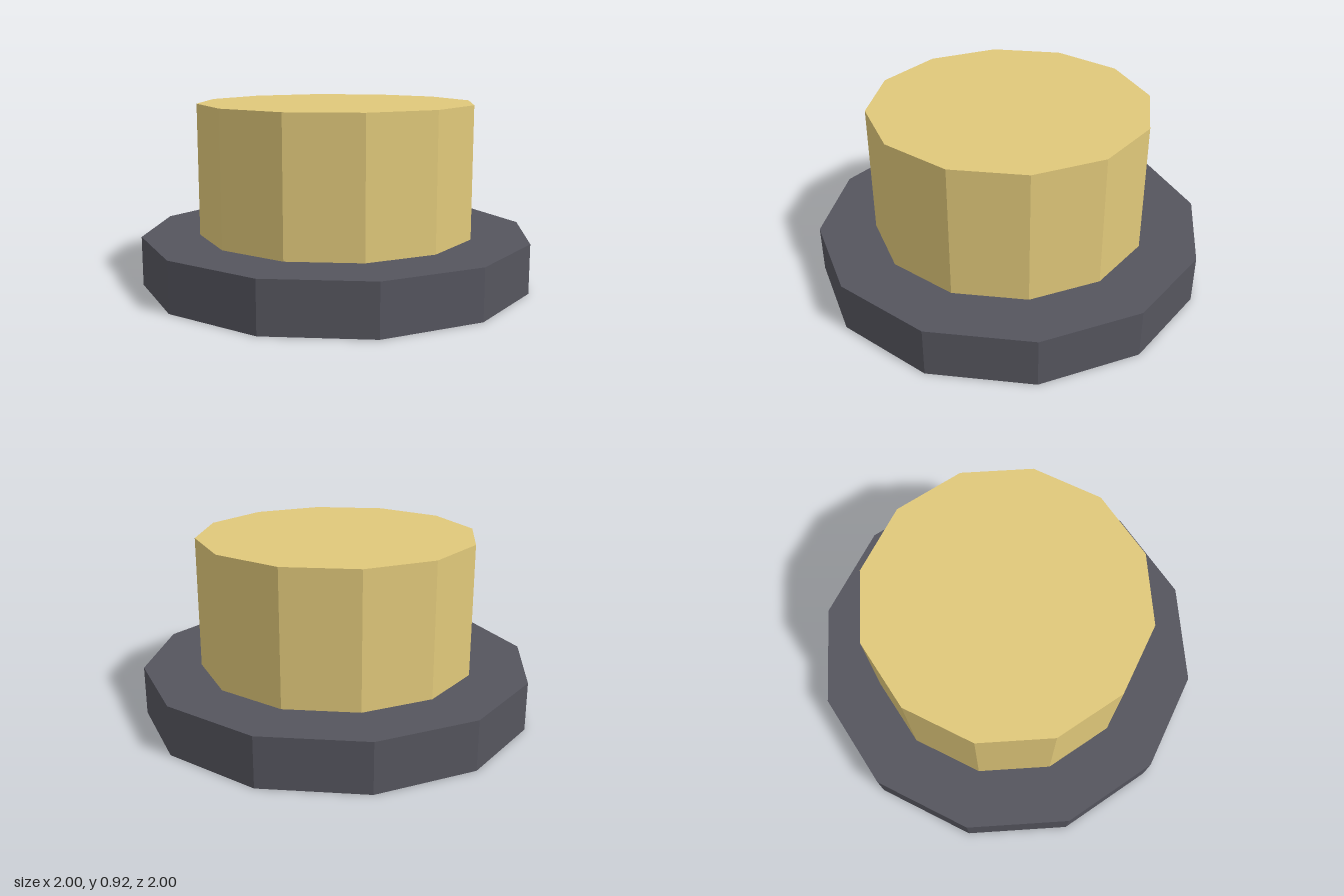
import * as THREE from 'three';

const SIDES = 12;

// Twelve-sided flat-shaded disc standing between two heights
function prism(name, radius, bottom, top, color) {
  const geometry = new THREE.CylinderGeometry(radius, radius, top - bottom, SIDES);
  const material = new THREE.MeshStandardMaterial({ color, flatShading: true });
  const mesh = new THREE.Mesh(geometry, material);
  mesh.name = name;
  mesh.position.y = (bottom + top) / 2;
  return mesh;
}

export function createModel() {
  const model = new THREE.Group();
  model.name = 'button';
  // Wide dark base plate
  model.add(prism('base', 1, 0, 0.25, 0x55555e));
  // Raised yellow cap
  model.add(prism('cap', 0.708, 0.25, 0.917, 0xe0c87a));
  return model;
}
